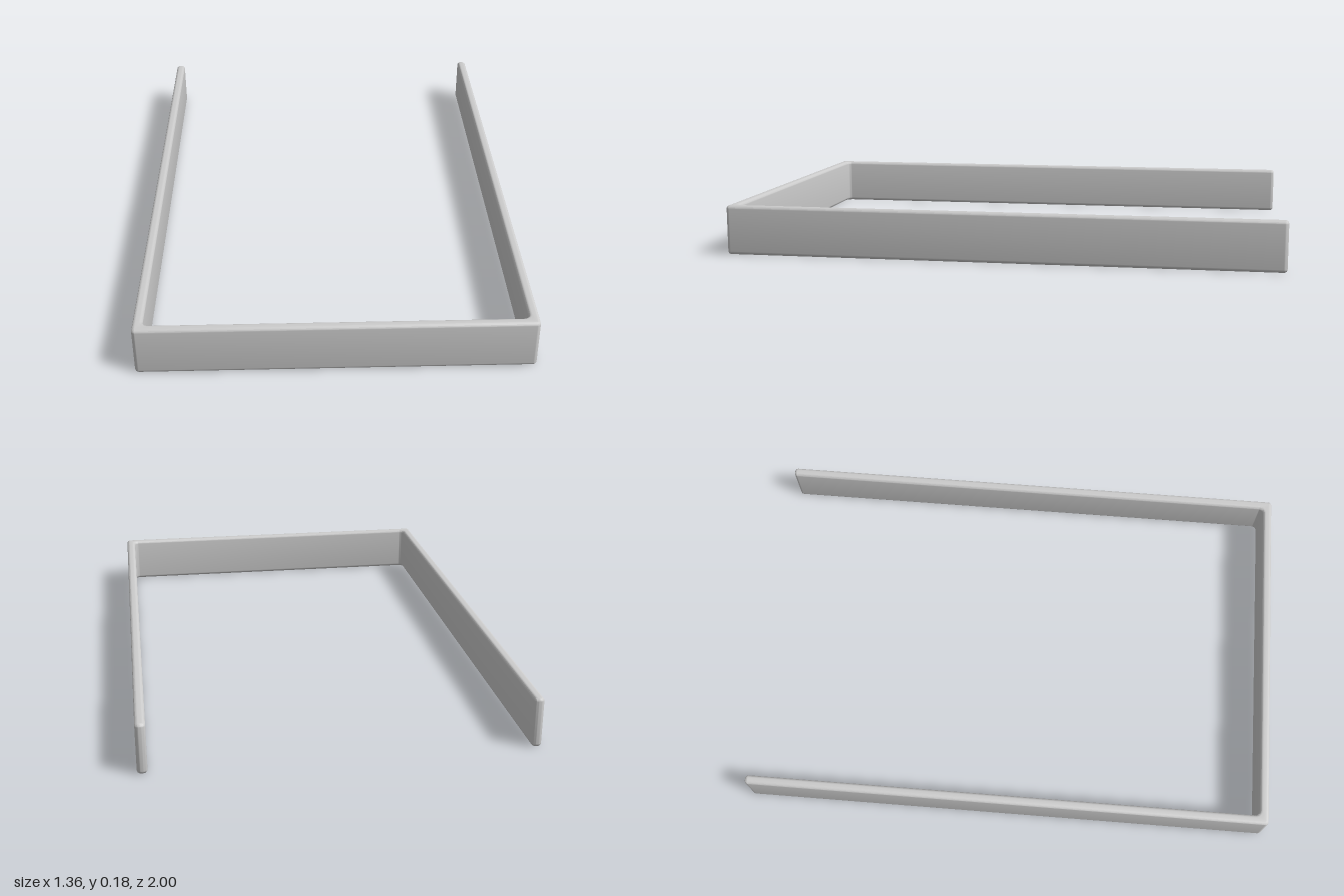
import * as THREE from 'three';
import { toCreasedNormals } from 'three/addons/utils/BufferGeometryUtils.js';

const W = 0.68;       // half width
const L = 1;          // half length
const T = 0.035;      // wall thickness
const H = 0.18;       // height
const BEVEL = 0.012;  // edge rounding

// Right-angled outline with every corner rounded by its own radius: [x, z, radius]
function roundedOutline(corners) {
  const shape = new THREE.Shape();
  const n = corners.length;
  corners.forEach(([x, y, r], i) => {
    const p = new THREE.Vector2(x, y);
    const toward = ([a, b]) => new THREE.Vector2(a, b).sub(p).normalize();
    const d1 = toward(corners[(i + n - 1) % n]);
    const d2 = toward(corners[(i + 1) % n]);
    const clockwise = -d1.x * d2.y + d1.y * d2.x < 0;
    shape.absarc(
      x + r * (d1.x + d2.x), y + r * (d1.y + d2.y), r,
      Math.atan2(-d2.y, -d2.x), Math.atan2(-d1.y, -d1.x), clockwise
    );
  });
  shape.closePath();
  return shape;
}

export function createModel() {
  const model = new THREE.Group();
  model.name = 'openFrame';

  // U-shaped band in plan: front bar with two side arms, open at the back
  const outer = 0.014, inner = 0.02, xi = W - T, zi = L - T;
  const outline = roundedOutline([
    [-W, -L, outer], [-xi, -L, outer], [-xi, zi, inner], [xi, zi, inner],
    [xi, -L, outer], [W, -L, outer], [W, L, outer], [-W, L, outer],
  ]);

  // Extruded upright with softly rounded top and bottom edges
  let geometry = new THREE.ExtrudeGeometry(outline, {
    depth: H - 2 * BEVEL,
    bevelThickness: BEVEL,
    bevelSize: BEVEL,
    bevelOffset: -BEVEL,
    bevelSegments: 5,
    curveSegments: 5,
  });
  geometry.rotateX(Math.PI / 2);
  geometry.translate(0, H - BEVEL, 0);
  geometry = toCreasedNormals(geometry, 0.6);

  const band = new THREE.Mesh(geometry, new THREE.MeshStandardMaterial({ color: 0xcccccc }));
  band.name = 'uShapedBand';
  model.add(band);
  return model;
}
